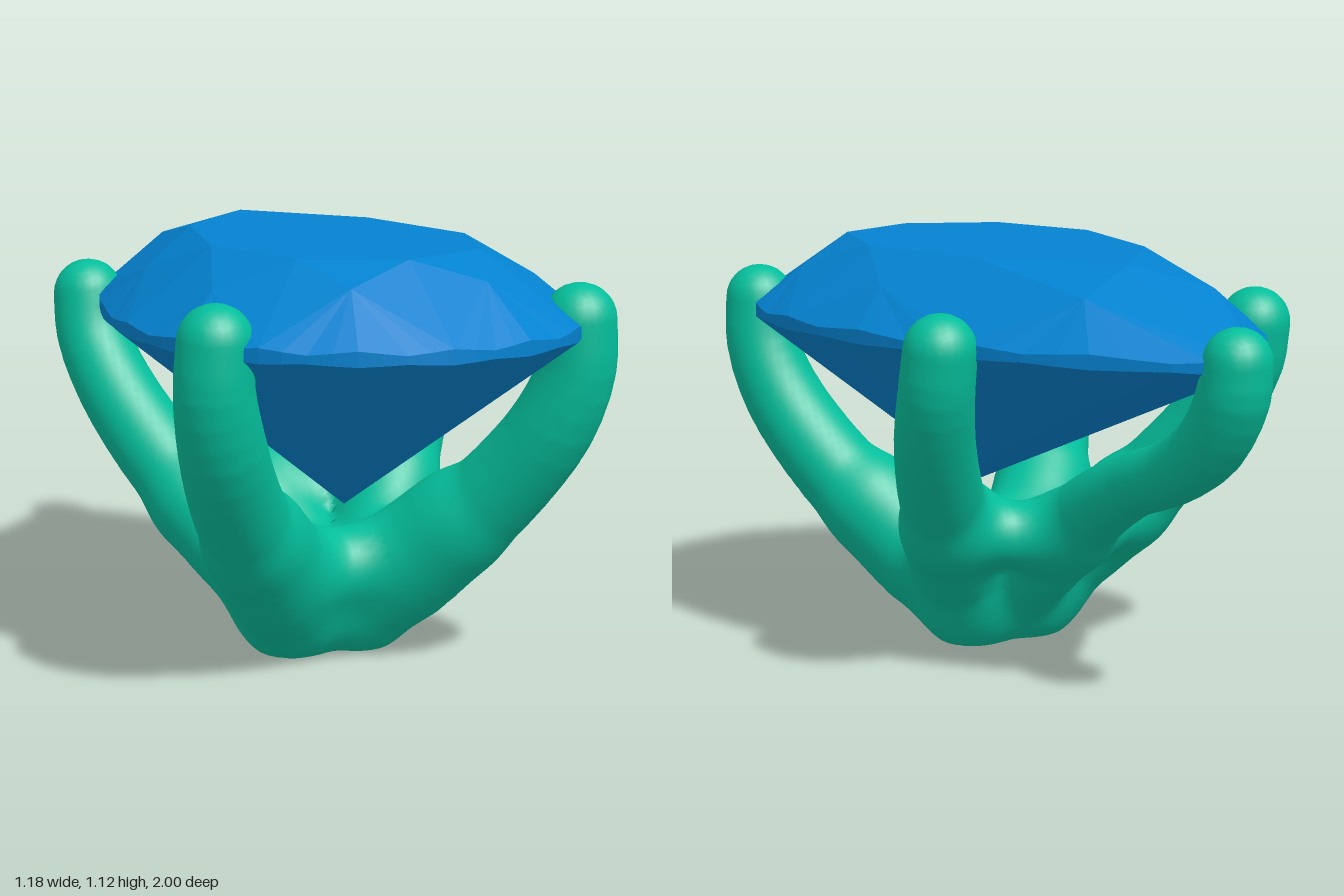
import * as THREE from 'three';

const V = (x, y, z) => new THREE.Vector3(x, y, z);
const flip = (p) => V(-p.x, p.y, p.z);

// ---- Pear-cut gem: table, stars, kites, girdle and pavilion ----
function gemGeometry() {
  const tri = [];
  const face = (...p) => { // fan of triangles over a polygon
    for (let i = 1; i < p.length - 1; i++) tri.push(p[0], p[i], p[i + 1]);
  };
  const half = [[0, 1], [0.225, 0.95], [0.425, 0.815], [0.55, 0.6], [0.59, 0.33],
    [0.55, 0], [0.44, -0.36], [0.27, -0.67], [0, -0.93]].map(([x, z]) => V(x, 0, z));
  const outline = new THREE.CatmullRomCurve3([...half, ...half.slice(1, -1).reverse().map(flip)], true);
  const N = 64;
  const upper = [], lower = [];
  for (let k = 0; k < N; k++) {
    const p = outline.getPoint(k / N);
    const wave = Math.cos(k * Math.PI / 2);
    upper.push(V(p.x, 0.939 + 0.006 * wave, p.z));
    lower.push(V(p.x, 0.909 - 0.003 * wave, p.z));
  }
  // table corners and the crown points between them
  const t = [[0, 0.735], [0.25, 0.62], [0.355, 0.3], [0.26, -0.13], [0, -0.44]].map(([x, z]) => V(x, 1.125, z));
  const table = [...t, ...t.slice(1, -1).reverse().map(flip)];
  const m = [V(0.18, 1.07, 0.8), V(0.44, 1.045, 0.54), V(0.45, 1.045, 0.06), V(0.2, 1.06, -0.54)];
  const crown = [...m, ...[...m].reverse().map(flip)];
  const culet = V(0, 0.43, 0.33);
  const belly = crown.map((_, i) => lower[i * 8 + 4].clone().lerp(culet, 0.72));

  face(...table);
  for (let i = 0; i < 8; i++) {
    const next = (i + 1) % 8, prev = (i + 7) % 8;
    face(table[i], crown[i], table[next]);
    face(table[i], crown[prev], upper[i * 8], crown[i]);
    face(culet, belly[i], lower[i * 8], belly[prev]);
    for (let k = i * 8; k < i * 8 + 8; k++) {
      const n = (k + 1) % N;
      face(crown[i], upper[k], upper[n]);
      face(lower[k], lower[n], upper[n], upper[k]);
      face(belly[i], lower[n], lower[k]);
    }
  }
  const g = new THREE.BufferGeometry().setFromPoints(tri);
  g.computeVertexNormals();
  return g;
}

// ---- Prong setting: tapered rods melted together as a distance field ----
// each rod is a list of [x, y, z, radius]
const frontRod = [[0.49, 0.945, 0.7, 0.095], [0.49, 0.82, 0.69, 0.1], [0.452, 0.67, 0.64, 0.11],
  [0.385, 0.52, 0.545, 0.117], [0.285, 0.36, 0.425, 0.125], [0.19, 0.22, 0.315, 0.13], [0.09, 0.135, 0.22, 0.13]];
const sideRod = [[0.49, 0.927, -0.325, 0.095], [0.487, 0.82, -0.3, 0.098], [0.448, 0.68, -0.22, 0.105],
  [0.375, 0.53, -0.115, 0.112], [0.28, 0.38, 0, 0.115], [0.18, 0.23, 0.11, 0.115], [0.09, 0.135, 0.18, 0.125]];
const backRod = [[0, 0.935, -0.913, 0.087], [0, 0.85, -0.897, 0.092], [0, 0.72, -0.81, 0.09], [0, 0.62, -0.65, 0.085],
  [0, 0.555, -0.47, 0.085], [0, 0.455, -0.28, 0.1], [0, 0.28, -0.05, 0.11], [0, 0.14, 0.14, 0.11]];
const hub = [[-0.11, 0.13, 0.19, 0.125], [0, 0.17, 0.19, 0.14], [0.11, 0.13, 0.19, 0.125]];
// webs filling the crotches between neighbouring prongs
const frontWeb = [[-0.28, 0.38, 0.42, 0.11], [-0.13, 0.28, 0.33, 0.11], [0, 0.25, 0.3, 0.11],
  [0.13, 0.28, 0.33, 0.11], [0.28, 0.38, 0.42, 0.11]];
const sideWeb = [[0.28, 0.38, 0.41, 0.11], [0.21, 0.28, 0.28, 0.1], [0.19, 0.255, 0.2, 0.1],
  [0.21, 0.28, 0.12, 0.1], [0.28, 0.38, 0, 0.11]];
const backWeb = [[-0.29, 0.41, -0.02, 0.1], [-0.14, 0.37, -0.1, 0.09], [0, 0.38, -0.17, 0.09],
  [0.14, 0.37, -0.1, 0.09], [0.29, 0.41, -0.02, 0.1]];

function smoothRod(points) {
  const curve = new THREE.CatmullRomCurve3(points.map((p) => V(p[0], p[1], p[2])));
  const last = points.length - 1, steps = last * 3;
  return Array.from({ length: steps + 1 }, (_, i) => {
    const p = curve.getPoint(i / steps), j = Math.floor(i / 3);
    const r = THREE.MathUtils.lerp(points[j][3], points[Math.min(j + 1, last)][3], i / 3 - j);
    return [p.x, p.y, p.z, r];
  });
}

function rodDistance(rod, x, y, z) {
  let best = Infinity;
  for (let i = 0; i < rod.length - 1; i++) {
    const a = rod[i], b = rod[i + 1];
    const dx = b[0] - a[0], dy = b[1] - a[1], dz = b[2] - a[2];
    const px = x - a[0], py = y - a[1], pz = z - a[2];
    const h = Math.min(1, Math.max(0, (px * dx + py * dy + pz * dz) / (dx * dx + dy * dy + dz * dz)));
    const d = Math.sqrt((px - h * dx) ** 2 + (py - h * dy) ** 2 + (pz - h * dz) ** 2) - a[3] - h * (b[3] - a[3]);
    if (d < best) best = d;
  }
  return best;
}

function settingGeometry() {
  const centred = [hub, frontWeb, backWeb, backRod].map(smoothRod);
  const paired = [frontRod, sideRod, sideWeb].map(smoothRod);
  const blend = (a, b, k) => {
    const h = Math.max(0, k - Math.abs(a - b)) / k;
    return Math.min(a, b) - h * h * k / 4;
  };
  const field = (x, y, z) => {
    let d = 1;
    for (const rod of centred) d = blend(d, rodDistance(rod, x, y, z), 0.07);
    for (const rod of paired)
      for (const side of [x, -x]) d = blend(d, rodDistance(rod, side, y, z), 0.07);
    return -blend(-d, y, 0.015); // flat, softly rounded foot
  };
  // sample the field on a grid
  const s = 0.022, min = [-29.5 * s, -2.5 * s, -1.06], n = [60, 53, 90];
  const id = (i, j, k) => i + n[0] * (j + n[1] * k);
  const at = (i, j, k) => [min[0] + i * s, min[1] + j * s, min[2] + k * s];
  const val = new Float32Array(n[0] * n[1] * n[2]);
  const each = (start, end, fn) => {
    for (let k = start; k < n[2] - end; k++)
      for (let j = start; j < n[1] - end; j++)
        for (let i = start; i < n[0] - end; i++) fn(i, j, k);
  };
  each(0, 0, (i, j, k) => { val[id(i, j, k)] = field(...at(i, j, k)); });

  // one vertex per crossed cell, pulled onto the surface
  const pos = [], nor = [], index = [], cell = new Int32Array(val.length).fill(-1);
  const e = 0.008;
  each(0, 1, (i, j, k) => {
    let inside = 0;
    for (let c = 0; c < 8; c++) if (val[id(i + (c & 1), j + (c >> 1 & 1), k + (c >> 2))] < 0) inside++;
    if (inside === 0 || inside === 8) return;
    const p = V(...at(i + 0.5, j + 0.5, k + 0.5)), g = V(0, 0, 0);
    for (let pass = 0; pass < 3; pass++) {
      const { x, y, z } = p;
      g.set(field(x + e, y, z) - field(x - e, y, z), field(x, y + e, z) - field(x, y - e, z),
        field(x, y, z + e) - field(x, y, z - e)).normalize();
      p.addScaledVector(g, -Math.max(-s, Math.min(s, field(x, y, z))));
    }
    cell[id(i, j, k)] = pos.length / 3;
    pos.push(p.x, p.y, p.z);
    nor.push(g.x, g.y, g.z);
  });
  // one quad around every crossed grid edge
  const stride = [1, n[0], n[0] * n[1]];
  each(1, 1, (i, j, k) => {
    const o = id(i, j, k);
    for (let a = 0; a < 3; a++) {
      const solid = val[o] < 0;
      if (solid === val[o + stride[a]] < 0) continue;
      const u = stride[(a + 1) % 3], v = stride[(a + 2) % 3];
      const q = [cell[o - u - v], cell[o - v], cell[o], cell[o - u]];
      if (!solid) q.reverse();
      index.push(q[0], q[1], q[2], q[0], q[2], q[3]);
    }
  });
  const geo = new THREE.BufferGeometry();
  geo.setAttribute('position', new THREE.Float32BufferAttribute(pos, 3));
  geo.setAttribute('normal', new THREE.Float32BufferAttribute(nor, 3));
  geo.setIndex(index);
  return geo;
}

export function createModel() {
  const model = new THREE.Group();
  model.name = 'prongSetGem';
  const gem = new THREE.Mesh(gemGeometry(), new THREE.MeshStandardMaterial({ color: 0x0482d0, flatShading: true }));
  gem.name = 'pearGem';
  const setting = new THREE.Mesh(settingGeometry(), new THREE.MeshStandardMaterial({ color: 0x04be9b }));
  setting.name = 'prongSetting';
  model.add(gem, setting);
  return model;
}
